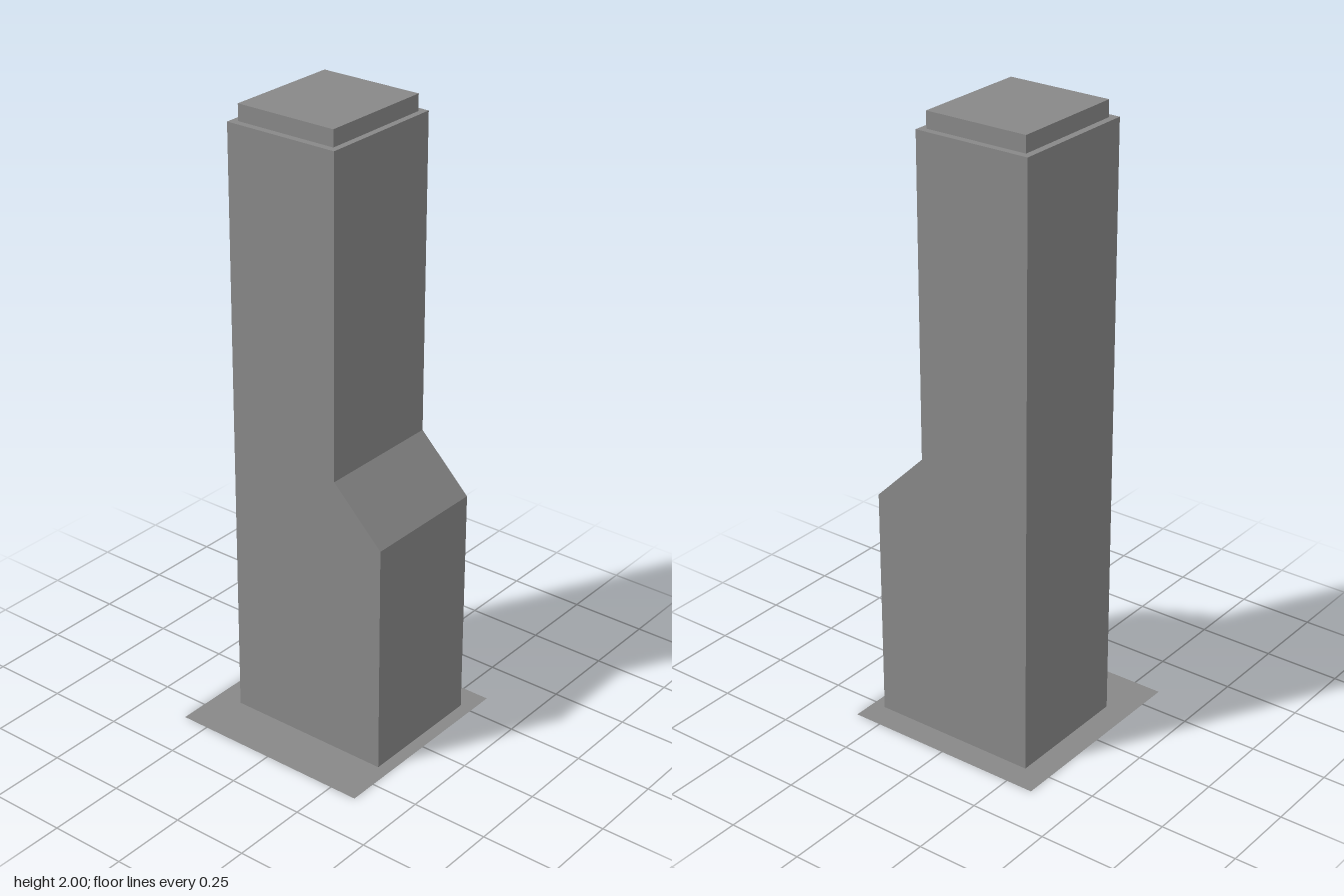
import * as THREE from 'three';

export function createModel() {
  const group = new THREE.Group();
  const material = new THREE.MeshStandardMaterial({ color: 0x888888, flatShading: true });
  const add = (name, geometry, mat = material) => {
    const mesh = new THREE.Mesh(geometry, mat);
    mesh.name = name;
    group.add(mesh);
    return mesh;
  };

  // Paper-thin square ground plate
  const thin = material.clone();
  thin.side = THREE.DoubleSide;
  add('basePlate', new THREE.PlaneGeometry(0.682, 0.682).rotateX(-Math.PI / 2), thin);

  // Chimney stack: stepped profile with a sloping shoulder on the left
  const back = -0.257, front = 0.171;
  const profile = new THREE.Shape([
    [-0.257, 0], [0.299, 0], [0.299, 0.76], [0.127, 0.931], [0.127, 1.948], [-0.257, 1.948],
  ].map(([x, y]) => new THREE.Vector2(x, y)));
  add('chimneyStack', new THREE.ExtrudeGeometry(profile, { depth: front - back, bevelEnabled: false }))
    .position.z = back;

  // Inset cap on top of the stack
  add('chimneyCap', new THREE.BoxGeometry(0.342, 0.052, 0.384)).position.set(-0.064, 1.974, -0.043);

  return group;
}
